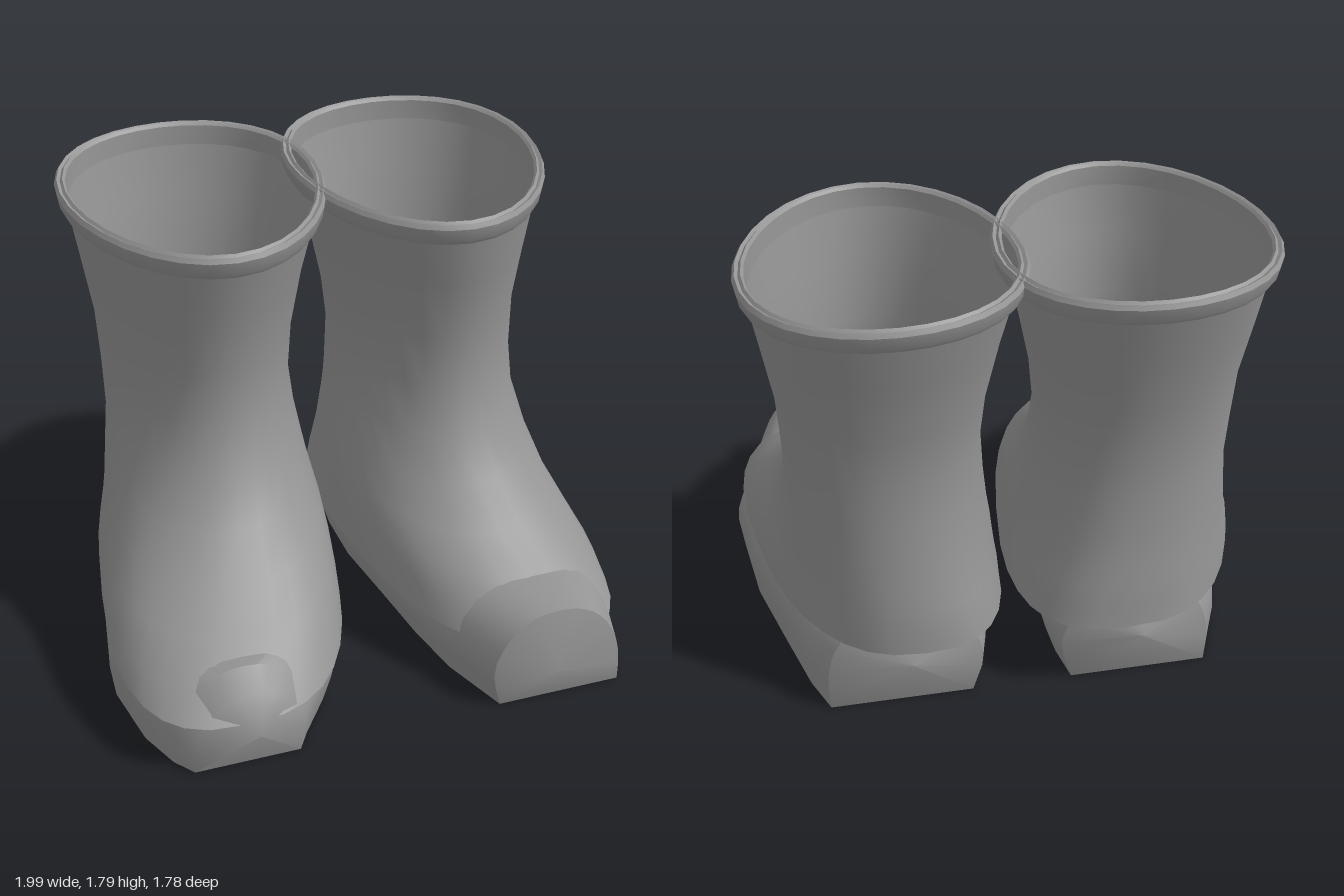
import * as THREE from 'three';
import { toCreasedNormals } from 'three/addons/utils/BufferGeometryUtils.js';

const grey = new THREE.MeshStandardMaterial({ color: 0x949494, side: THREE.DoubleSide });
grey.name = 'rubber grey';

// Skin a list of closed sections that all have the same number of points
function loft(sections, crease) {
  const n = sections[0].length, index = [];
  for (let i = 0; i < sections.length - 1; i++) {
    for (let j = 0; j < n; j++) {
      const a = i * n + j, b = i * n + (j + 1) % n;
      index.push(a, b, a + n, b, b + n, a + n);
    }
  }
  const geo = new THREE.BufferGeometry();
  geo.setAttribute('position', new THREE.Float32BufferAttribute(sections.flat(2), 3));
  geo.setIndex(index);
  return toCreasedNormals(geo, crease);
}

const rounded = (v, n) => Math.sign(v) * Math.pow(Math.abs(v), 2 / n);

// Level ring, tipped up towards the heel; skew turns the foot outwards
// and egg moves the widest place backwards
function ring(y, xc, rx, z0, z1, egg, skew = 0, n = 2, count = 32) {
  return Array.from({ length: count }, (_, j) => {
    const t = (j / count) * Math.PI * 2;
    const z = (z0 + z1) / 2 + ((z1 - z0) / 2) * rounded(Math.sin(t), n) - egg * Math.cos(t) ** 2;
    return [xc + rx * rounded(Math.cos(t), n) + skew * z, y - 0.08 * z, z];
  });
}

// Upright arch with a flat bottom, drawn in at the ground, more so on the inside
function arch(z, xc, w, h, n, count = 20) {
  return Array.from({ length: count + 1 }, (_, j) => {
    const t = (j / count) * Math.PI;
    const y = j === 0 || j === count ? 0 : h * rounded(Math.sin(t), n);
    const tuck = Math.max(0, 1 - y / 0.16);
    return [xc + w * rounded(Math.cos(t), n) * (1 - 0.1 * tuck) + 0.02 * tuck, y, z];
  });
}

const tip = (x, y, z) => Array.from({ length: 21 }, () => [x, y, z]);

// y, x centre, x radius, back z, front z, egg, skew, squareness
const upperRows = [
  [1.66, 0.445, 0.46, -0.86, 0.22, 0.08, 0, 2],
  [1.45, 0.455, 0.415, -0.81, 0.175, 0.08, 0, 2],
  [1.2, 0.46, 0.37, -0.75, 0.125, 0.07, 0, 2],
  [1.0, 0.465, 0.355, -0.73, 0.13, 0.07, 0, 2],
  [0.82, 0.465, 0.36, -0.735, 0.18, 0.06, 0.02, 2],
  [0.66, 0.475, 0.38, -0.755, 0.29, 0.04, 0.05, 2.1],
  [0.54, 0.48, 0.4, -0.77, 0.43, 0.02, 0.08, 2.2],
  [0.45, 0.49, 0.415, -0.79, 0.58, 0, 0.11, 2.3],
  [0.36, 0.5, 0.43, -0.8, 0.71, 0, 0.14, 2.4],
  [0.27, 0.5, 0.435, -0.81, 0.8, 0, 0.15, 2.5],
];

// y and outward offset, from the inner wall over the lip to the outside
const collarRows = [
  [1.64, -0.01], [1.715, -0.005], [1.725, 0.005], [1.715, 0.014],
  [1.722, 0.026], [1.705, 0.036], [1.66, 0.028], [1.64, 0.016], [1.636, 0],
];

// z, x centre, half width, height, squareness
const leftSole = [
  [-0.69, 0.44, 0.3, 0.41, 3],
  [-0.55, 0.455, 0.35, 0.37, 3.6],
  [-0.3, 0.49, 0.39, 0.36, 4],
  [0, 0.55, 0.415, 0.37, 4],
  [0.3, 0.585, 0.415, 0.36, 4],
  [0.55, 0.58, 0.36, 0.39, 2.8],
  [0.82, 0.595, 0.27, 0.38, 2.3],
];
const rightSole = [
  [-0.69, 0.43, 0.29, 0.4, 3],
  [-0.55, 0.445, 0.34, 0.36, 3.6],
  [-0.3, 0.48, 0.38, 0.34, 4],
  [0, 0.54, 0.41, 0.34, 4],
  [0.3, 0.57, 0.43, 0.34, 4],
  [0.58, 0.57, 0.38, 0.35, 3],
  [0.74, 0.595, 0.28, 0.365, 2.2],
  [0.82, 0.59, 0.22, 0.29, 2.3],
];

function boot(name, soleRows, wide, shift) {
  const group = new THREE.Group();
  group.name = name;
  const add = (part, geo) => {
    const mesh = new THREE.Mesh(geo, grey);
    mesh.name = part;
    group.add(mesh);
  };

  // Shaft and foot in one open shell
  add('upper', loft(upperRows.map(([y, xc, rx, z0, z1, egg, skew, n]) =>
    ring(y, xc + shift, rx * (1 + wide * skew), z0, z1 + wide * skew, egg, skew, n + wide * skew * 3)), 1));

  // Thick rolled rim
  add('collar', loft(collarRows.map(([y, o]) =>
    ring(y, 0.442 + shift, 0.46 + o, -0.855 - o, 0.205 + o, 0.08)), 0.6));

  // Sole with pointed heel and toe ends; its top is the floor inside
  add('sole', loft([
    tip(0.43, 0.27, -0.8),
    ...soleRows.map((row) => arch(...row)),
    tip(0.58, 0.16, 0.89),
  ], 0.7));
  return group;
}

export function createModel() {
  const model = new THREE.Group();
  model.name = 'pairOfBoots';
  const left = boot('leftBoot', leftSole, 0, 0);
  const right = boot('rightBoot', rightSole, 0.4, -0.01);
  right.scale.x = -1;
  model.add(left, right);
  return model;
}
